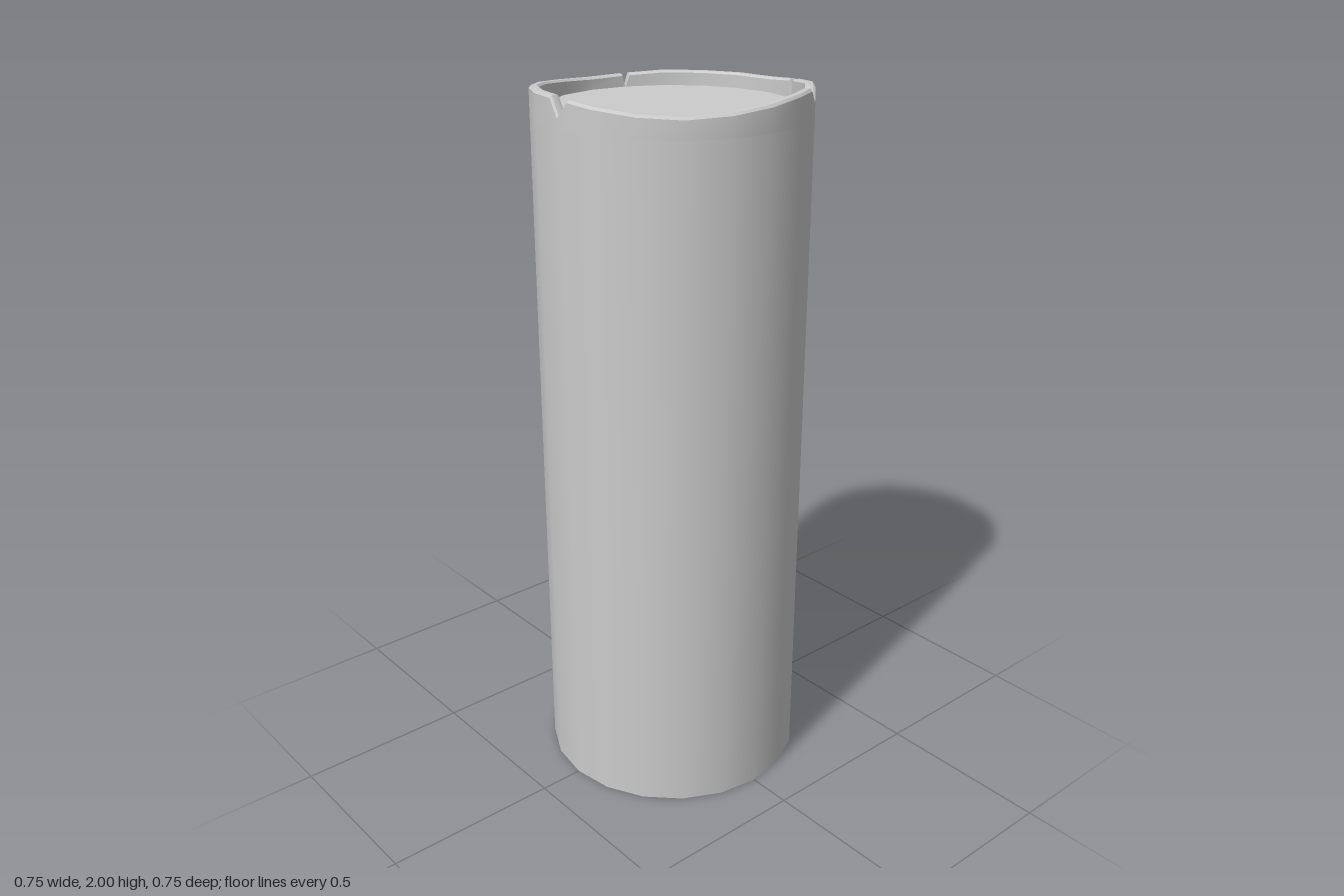
import * as THREE from 'three';
import { toCreasedNormals } from 'three/addons/utils/BufferGeometryUtils.js';

const SIDES = 20, STEP = 360 / SIDES;
const OUTER = 0.373, INNER = 0.346;
const COLLAR = 1.92, FLOOR = 1.935;

// Rim height at each corner, from +x round towards +z
const RIM = [1.975, 1.985, 1.995, 2, 2, 1.99, 1.98, 1.975, 1.98, 1.99,
  2, 2, 1.995, 1.985, 1.975, 1.968, 1.97, 1.975, 1.975, 1.975];

// V-shaped nicks in the rim: angle, half width (degrees), depth
const NICKS = [[17.3, 1.8, 0.045], [52.5, 6, 0.048], [180, 5.4, 0.045], [288, 1.8, 0.04]];

// Radius factor that keeps a point on the straight side between two corners
function chord(deg) {
  const half = THREE.MathUtils.degToRad(STEP / 2);
  const local = THREE.MathUtils.degToRad(deg % STEP) - half;
  return Math.cos(half) / Math.cos(local);
}

function rimHeight(deg) {
  const t = deg / STEP, i = Math.floor(t) % SIDES;
  let h = THREE.MathUtils.lerp(RIM[i], RIM[(i + 1) % SIDES], t - Math.floor(t));
  for (const [a, w, d] of NICKS) h -= d * Math.max(0, 1 - Math.abs(deg - a) / w);
  return h;
}

// Collar: a rounded lip profile swept round the corners and the nick edges
function collarGeometry() {
  const angles = RIM.map((_, i) => i * STEP);
  for (const [a, w] of NICKS) angles.push(a - w, a, a + w);
  const cols = [...new Set(angles)].sort((a, b) => a - b);
  const pos = [], idx = [];
  for (const deg of cols) {
    const h = rimHeight(deg), k = chord(deg), a = THREE.MathUtils.degToRad(deg);
    const profile = [[OUTER, COLLAR], [OUTER, h - 0.007], [OUTER - 0.006, h],
      [INNER + 0.006, h], [INNER, h - 0.005], [INNER, FLOOR]];
    for (const [r, y] of profile) pos.push(r * k * Math.cos(a), y, r * k * Math.sin(a));
  }
  const n = 6;
  for (let c = 0; c < cols.length; c++) {
    const d = (c + 1) % cols.length;
    for (let j = 0; j < n - 1; j++) {
      const p = c * n + j, q = d * n + j;
      idx.push(p, p + 1, q, q, p + 1, q + 1);
    }
  }
  const g = new THREE.BufferGeometry();
  g.setAttribute('position', new THREE.Float32BufferAttribute(pos, 3));
  g.setIndex(idx);
  return toCreasedNormals(g, THREE.MathUtils.degToRad(35));
}

export function createModel() {
  const group = new THREE.Group();
  group.name = 'column';
  const material = new THREE.MeshStandardMaterial({ color: 0xcccccc, side: THREE.DoubleSide });
  const add = (name, geometry) => {
    const mesh = new THREE.Mesh(geometry, material);
    mesh.name = name;
    group.add(mesh);
    return mesh;
  };

  // Open-bottomed shaft
  add('shaft', new THREE.CylinderGeometry(OUTER, OUTER, COLLAR, SIDES, 1, true)).position.y = COLLAR / 2;

  // Worn, nicked lip
  add('rim', collarGeometry());

  // Recessed top surface
  const floor = add('recessedTop', new THREE.CircleGeometry(INNER, SIDES));
  floor.rotation.x = -Math.PI / 2;
  floor.position.y = FLOOR;

  return group;
}
